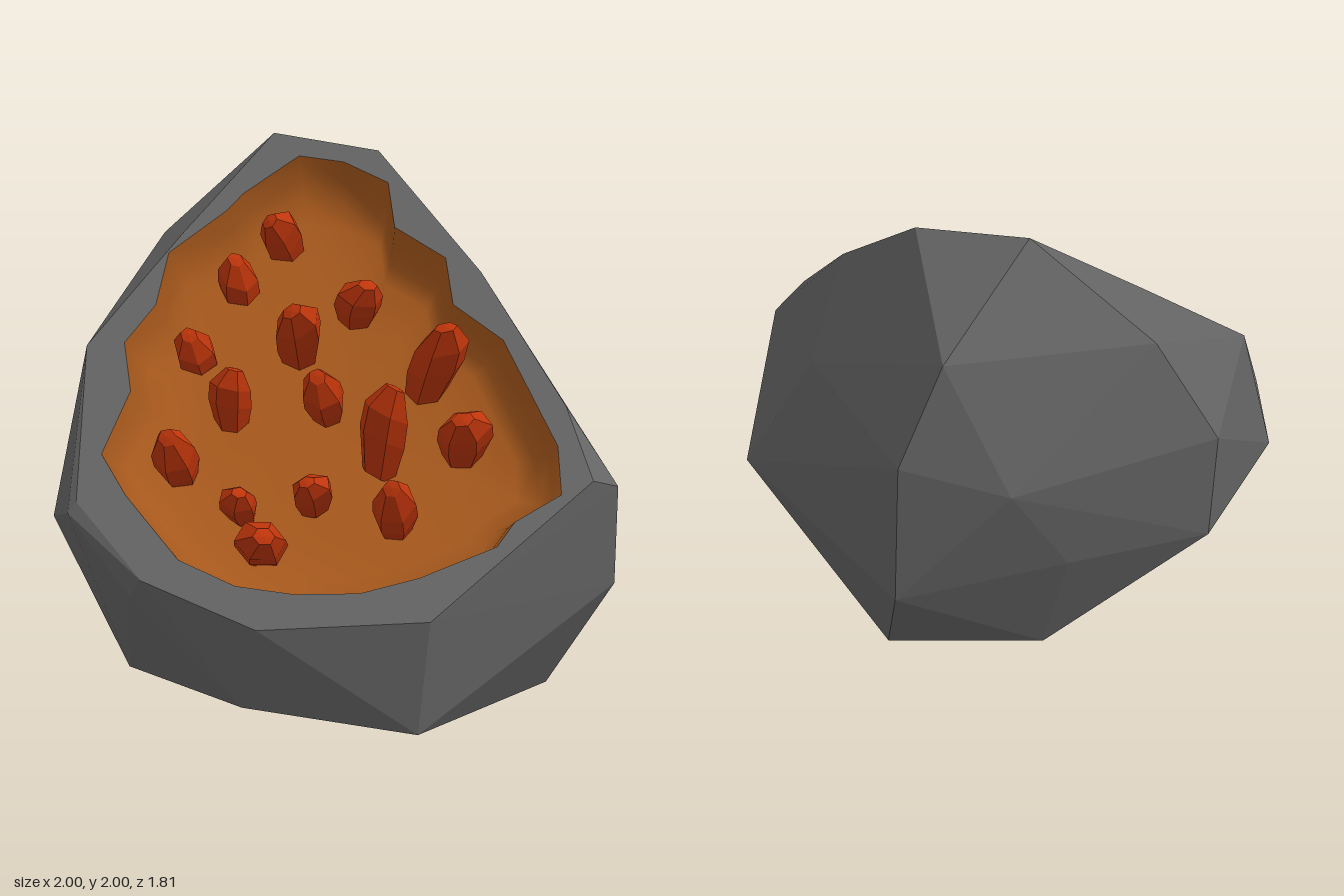
import * as THREE from 'three';
import { ConvexGeometry } from 'three/addons/geometries/ConvexGeometry.js';

// Sloping cut plane of the split stone: z as a function of y
const cutZ = (y) => (1.44 - y) / 1.077;
const cutNormal = new THREE.Vector3(0, 1, 1.077).normalize();
const V = (x, y, z) => new THREE.Vector3(x, y, z);

// Outlines on the cut plane, as x and y, anticlockwise from the top
const rimOutline = [
  [-0.27, 2.0], [-0.58, 1.66], [-0.895, 1.29], [-0.87, 0.82], [-0.62, 0.6], [-0.22, 0.47],
  [0.36, 0.5], [0.91, 0.9], [0.82, 1.12], [0.52, 1.535], [0.13, 1.94],
];
const cavityOutline = [
  [-0.17, 1.92], [-0.37, 1.79], [-0.43, 1.73], [-0.63, 1.59], [-0.66, 1.42], [-0.76, 1.3],
  [-0.72, 1.15], [-0.8, 0.96], [-0.7, 0.84], [-0.5, 0.66], [-0.3, 0.59], [-0.1, 0.57],
  [0.12, 0.575], [0.32, 0.62], [0.58, 0.71], [0.64, 0.78], [0.8, 0.86], [0.79, 1.0],
  [0.6, 1.32], [0.42, 1.43], [0.39, 1.58], [0.2, 1.68], [0.17, 1.83], [0.0, 1.9],
];

// Corners of the outer stone below the cut
const stoneCorners = [
  [-0.07, 1.68, -0.84], [0.07, 1.28, -0.905], [0.12, 0.63, -0.83], [0.28, 0.06, -0.45],
  [-0.29, 1.16, -0.81], [-0.44, 0.72, -0.58],
  [-0.3, 0.12, -0.36], [-0.72, 0.18, 0.25], [-0.7, 0.22, 0.55], [-0.28, 0.16, 0.79],
  [0.32, 0.085, 0.82], [0.6, 0.26, 0.6], [0.77, 0.1, 0.28], [0.08, 0, 0.23], [1.0, 0.5, 0.37],
  [1.0, 0.865, 0.43], [0.9, 0.62, -0.21], [0.53, 1.3, -0.43], [-1.0, 0.7, 0.31],
  [-0.9, 0.78, 0.58], [-0.67, 0.53, 0.73],
  [-0.88, 0.71, -0.285], [-0.9, 1.2, -0.36], [-0.687, 1.625, -0.46],
];

// Faceted hull with the cut face left open
function stoneGeometry() {
  const points = stoneCorners.map((p) => V(...p));
  rimOutline.forEach(([x, y]) => points.push(V(x, y, cutZ(y))));
  const hull = new ConvexGeometry(points).getAttribute('position');
  const kept = [];
  const onCut = (i) => Math.abs(hull.getZ(i) - cutZ(hull.getY(i))) < 0.005;
  for (let i = 0; i < hull.count; i += 3) {
    if (onCut(i) && onCut(i + 1) && onCut(i + 2)) continue;
    for (let j = i; j < i + 3; j++) kept.push(hull.getX(j), hull.getY(j), hull.getZ(j));
  }
  const g = new THREE.BufferGeometry();
  g.setAttribute('position', new THREE.Float32BufferAttribute(kept, 3));
  g.computeVertexNormals();
  return g;
}

// Flat border around the cavity, laid onto the cut plane
function rimGeometry() {
  const toPoints = (list) => list.map((p) => new THREE.Vector2(...p));
  const shape = new THREE.Shape(toPoints(rimOutline));
  shape.holes.push(new THREE.Path(toPoints(cavityOutline)));
  const g = new THREE.ShapeGeometry(shape);
  const pos = g.getAttribute('position');
  for (let i = 0; i < pos.count; i++) pos.setZ(i, cutZ(pos.getY(i)));
  g.computeVertexNormals();
  return g;
}

// Hollow: a short steep wall, then a gently dished floor, from shrinking rings
function cavityGeometry() {
  const rings = [[1, 0], [0.965, 0.08], [0.91, 0.15], [0.82, 0.185], [0.6, 0.21], [0.3, 0.225], [0.001, 0.23]];
  const n = cavityOutline.length;
  const centre = [0, 1.16];
  const positions = [];
  const index = [];
  rings.forEach(([scale, depth], r) => {
    cavityOutline.forEach(([ox, oy], i) => {
      const x = centre[0] + (ox - centre[0]) * scale;
      const y = centre[1] + (oy - centre[1]) * scale;
      const p = V(x, y, cutZ(y)).addScaledVector(cutNormal, -depth);
      positions.push(p.x, p.y, p.z);
      if (r === 0) return;
      const a = (r - 1) * n + i, b = (r - 1) * n + (i + 1) % n;
      index.push(a, b, a + n, b, b + n, a + n);
    });
  });
  const g = new THREE.BufferGeometry();
  g.setAttribute('position', new THREE.Float32BufferAttribute(positions, 3));
  g.setIndex(index);
  g.computeVertexNormals();
  return g;
}

// Chunky crystal with uneven shoulders and an off-centre tip, unit length along y
function crystalGeometry(seed) {
  const profile = [[0, -0.6], [0.7, -0.6], [1, -0.12], [0.95, 0.18], [0.4, 0.48], [0, 0.5]];
  const lathe = new THREE.LatheGeometry(profile.map((p) => new THREE.Vector2(...p)), 6, seed * 1.3);
  const g = lathe.toNonIndexed();
  const pos = g.getAttribute('position');
  for (let i = 0; i < pos.count; i++) {
    const x = pos.getX(i), y = pos.getY(i), z = pos.getZ(i);
    const lean = Math.max(0, y - 0.1) * 0.8;
    const skew = 0.15 * x * Math.sin(seed * 2) + 0.15 * z * Math.cos(seed * 2);
    pos.setXYZ(i, x + lean * Math.cos(seed * 2.1), y + skew, z * 0.88 + lean * Math.sin(seed * 2.1));
  }
  g.computeVertexNormals();
  return g;
}

// Each crystal: centre x y z, length, radius, direction x y z
const crystals = [
  [-0.23, 1.63, -0.34, 0.24, 0.082, -0.2, 0.65, 0.6],
  [-0.38, 1.47, -0.22, 0.21, 0.078, 0.05, 0.7, 0.6],
  [0.07, 1.42, -0.11, 0.26, 0.09, 0.1, 0.6, 0.75],
  [-0.14, 1.33, 0.02, 0.32, 0.09, 0, 0.7, 0.7],
  [-0.52, 1.24, -0.01, 0.19, 0.078, -0.05, 0.6, 0.7],
  [-0.38, 1.11, 0.15, 0.25, 0.078, 0, 0.9, 0.4],
  [0.37, 1.25, 0.09, 0.33, 0.095, 0.25, 0.8, 0.45],
  [-0.04, 1.12, 0.18, 0.22, 0.078, -0.05, 0.6, 0.7],
  [0.18, 1.04, 0.31, 0.36, 0.088, 0.1, 0.9, 0.4],
  [0.47, 1.02, 0.31, 0.28, 0.098, 0.05, 0.65, 0.7],
  [-0.55, 0.93, 0.37, 0.25, 0.083, -0.05, 0.6, 0.75],
  [-0.32, 0.80, 0.49, 0.21, 0.066, -0.05, 0.55, 0.75],
  [-0.06, 0.84, 0.46, 0.24, 0.076, 0, 0.6, 0.75],
  [0.23, 0.79, 0.51, 0.25, 0.08, 0, 0.65, 0.75],
  [-0.23, 0.69, 0.61, 0.36, 0.09, 0, 0.4, 0.9],
];

export function createModel() {
  const stone = new THREE.MeshStandardMaterial({ color: 0x646464 });
  const orange = new THREE.MeshStandardMaterial({ color: 0xa6581c });
  const red = new THREE.MeshStandardMaterial({ color: 0xbf350b });
  stone.name = 'grey stone';
  orange.name = 'orange cavity';
  red.name = 'red crystal';

  const model = new THREE.Group();
  model.name = 'geode';
  const add = (parent, geometry, material, name) => {
    const mesh = new THREE.Mesh(geometry, material);
    mesh.name = name;
    parent.add(mesh);
    return mesh;
  };
  add(model, stoneGeometry(), stone, 'outerStone');
  add(model, rimGeometry(), stone, 'rim');
  add(model, cavityGeometry(), orange, 'cavity');

  const cluster = new THREE.Group();
  cluster.name = 'crystals';
  crystals.forEach(([x, y, z, length, radius, dx, dy, dz], i) => {
    const mesh = add(cluster, crystalGeometry(i + 1), red, 'crystal' + (i + 1));
    mesh.position.set(x, y, z);
    mesh.scale.set(radius, length, radius);
    mesh.quaternion.setFromUnitVectors(V(0, 1, 0), V(dx, dy, dz).normalize());
  });
  model.add(cluster);
  return model;
}
